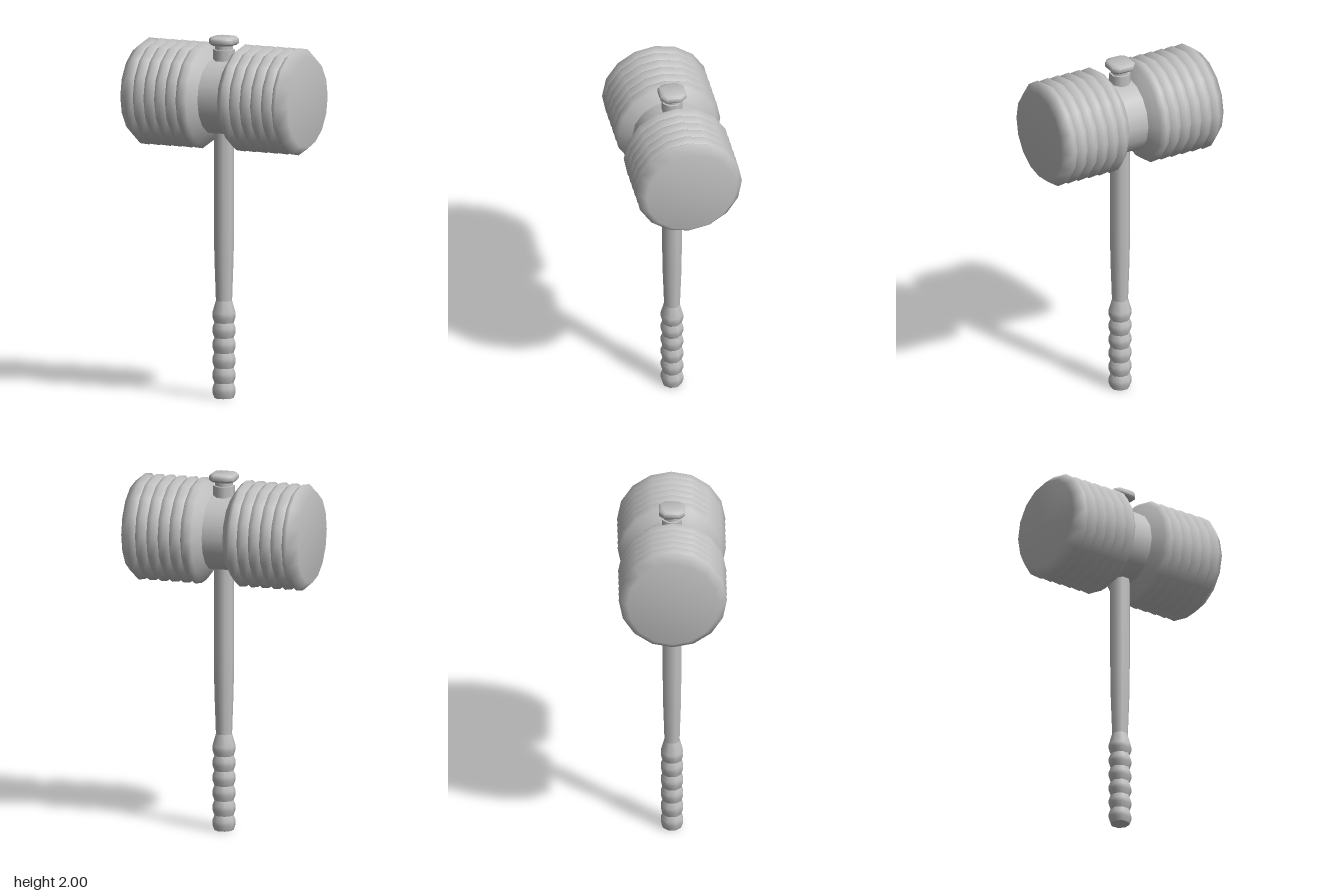
import * as THREE from 'three';
import { toCreasedNormals } from 'three/addons/utils/BufferGeometryUtils.js';

const HEAD_Y = 1.67;

export function createModel() {
  const model = new THREE.Group();
  model.name = 'mallet';
  const grey = new THREE.MeshStandardMaterial({ color: 0xc0c0c0 });
  grey.name = 'grey';

  // Turned part from [radius, height] pairs, listed bottom to top
  const turned = (name, profile, sides, start = 0) => {
    const points = profile.map(([r, y]) => new THREE.Vector2(r, y));
    const mesh = new THREE.Mesh(new THREE.LatheGeometry(points, sides, start), grey);
    mesh.name = name;
    return mesh;
  };
  // Octagonal part with flats facing the axes; radii are given to the flats
  const octagonal = (name, profile) =>
    turned(name, profile.map(([r, y]) => [r / Math.cos(Math.PI / 8), y]), 8, Math.PI / 8);

  // Head: narrow waist with a ribbed half on each side
  const head = new THREE.Group();
  head.name = 'head';
  head.position.y = HEAD_Y;
  head.rotation.z = -Math.PI / 2;
  head.add(turned('waist', [[0.21, -0.06], [0.21, 0.06]], 16));

  const peak = 0.297, valley = 0.274, pitch = 0.065;
  for (const side of [1, -1]) {
    const half = new THREE.Group();
    half.name = side > 0 ? 'leftHalf' : 'rightHalf';
    half.add(turned('collar', [[0.21, 0.06], [valley, 0.1], [peak, 0.13], [valley, 0.1625]], 16));
    for (let i = 0; i < 4; i++) {
      const x = 0.1625 + i * pitch;
      half.add(turned('rib', [[valley, x], [peak, x + pitch / 2], [valley, x + pitch]], 16));
    }
    half.add(turned('strikingFace', [[valley, 0.4225], [peak, 0.455], [0.25, 0.51], [0, 0.51]], 16));
    if (side < 0) half.rotation.x = Math.PI;
    head.add(half);
  }
  model.add(head);

  // Shaft, slightly tapered towards the grip
  model.add(octagonal('shaft', [[0.041, 0.53], [0.043, 0.6], [0.049, 0.78], [0.051, 0.95], [0.051, 1.52]]));

  // Grip with six swellings
  const step = 0.0835;
  for (let i = 0; i < 6; i++) {
    const y = i * step;
    const last = i === 5;
    model.add(octagonal('gripRing', [
      [0.049, y], [0.059, y + 0.03], [0.059, y + 0.055],
      last ? [0.041, 0.54] : [0.049, y + step],
    ]));
  }
  const base = new THREE.Mesh(
    new THREE.CircleGeometry(0.049 / Math.cos(Math.PI / 8), 8, Math.PI / 8), grey);
  base.name = 'gripBase';
  base.rotation.x = Math.PI / 2;
  model.add(base);

  // Peg and neck coming out of the top of the head
  model.add(octagonal('peg', [[0.055, 1.82], [0.055, 1.93]]));
  model.add(octagonal('pegTop', [[0.055, 1.93], [0.045, 1.931]]));
  model.add(octagonal('neck', [[0.045, 1.93], [0.045, 1.97]]));

  // Knob: square with cut corners and bevelled rims
  const a = 0.072, b = 0.042, bevel = 0.012;
  const outline = new THREE.Shape(
    [[a, -b], [a, b], [b, a], [-b, a], [-a, b], [-a, -b], [-b, -a], [b, -a]]
      .map(([x, y]) => new THREE.Vector2(x, y)));
  const knobGeometry = new THREE.ExtrudeGeometry(outline, {
    depth: 0.045 - 2 * bevel, bevelEnabled: true, bevelSegments: 1,
    bevelThickness: bevel, bevelSize: bevel, bevelOffset: -bevel,
  });
  knobGeometry.rotateX(-Math.PI / 2);
  const knob = new THREE.Mesh(toCreasedNormals(knobGeometry, 0.9), grey);
  knob.name = 'knob';
  knob.position.y = 1.955 + bevel;
  model.add(knob);

  return model;
}
